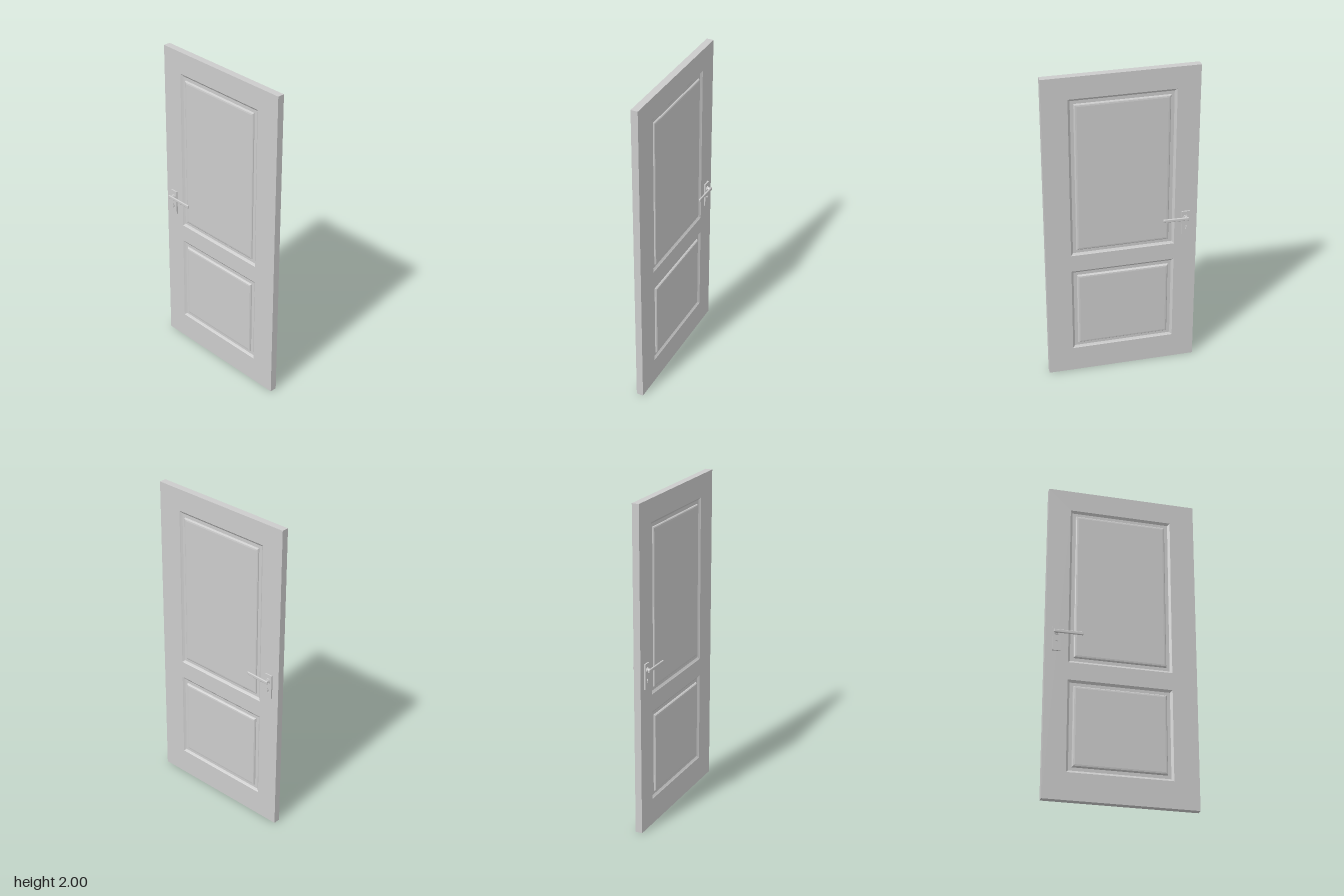
import * as THREE from 'three';
import { RoundedBoxGeometry } from 'three/addons/geometries/RoundedBoxGeometry.js';

const HALF = 0.0215; // half the door thickness
const material = new THREE.MeshStandardMaterial({ color: 0xcccccc, flatShading: true });
const smooth = new THREE.MeshStandardMaterial({ color: 0xcccccc });

function add(parent, name, geometry, x = 0, y = 0, z = 0, mat = material) {
  const mesh = new THREE.Mesh(geometry, mat);
  mesh.name = name;
  mesh.position.set(x, y, z);
  parent.add(mesh);
  return mesh;
}

function rectangle(Type, x0, y0, x1, y1) {
  const path = new Type();
  path.moveTo(x0, y0);
  path.lineTo(x1, y0);
  path.lineTo(x1, y1);
  path.lineTo(x0, y1);
  path.closePath();
  return path;
}

// Rectangular rings of [inset, z] joined by sloping faces and closed in the middle
function steppedPanel([x0, y0, x1, y1], profile) {
  const positions = [], index = [];
  for (const [d, z] of profile) {
    positions.push(x0 + d, y0 + d, z, x1 - d, y0 + d, z, x1 - d, y1 - d, z, x0 + d, y1 - d, z);
  }
  for (let r = 0; r < profile.length - 1; r++) {
    for (let i = 0; i < 4; i++) {
      const a = r * 4 + i, b = r * 4 + (i + 1) % 4;
      index.push(a, b, b + 4, a, b + 4, a + 4);
    }
  }
  const c = (profile.length - 1) * 4;
  index.push(c, c + 1, c + 2, c, c + 2, c + 3);
  const geometry = new THREE.BufferGeometry();
  geometry.setAttribute('position', new THREE.Float32BufferAttribute(positions, 3));
  geometry.setIndex(index);
  const flat = geometry.toNonIndexed();
  flat.computeVertexNormals();
  return flat;
}

// Latch plate with a keyhole cut through it, centred on its own origin
function plateGeometry(depth) {
  const shape = rectangle(THREE.Shape, -0.025, -0.0775, 0.025, 0.0775);
  const keyhole = new THREE.Path();
  keyhole.absarc(0, -0.022, 0.007, -Math.PI * 0.35, Math.PI * 1.35, false);
  keyhole.lineTo(-0.003, -0.042);
  keyhole.lineTo(0.003, -0.042);
  keyhole.closePath();
  shape.holes.push(keyhole);
  return new THREE.ExtrudeGeometry(shape, { depth, bevelEnabled: false, curveSegments: 8 });
}

// Plate, neck and lever; built facing +z around the spindle
function makeHandle(name, length, overhang, tilt, direction) {
  const handle = new THREE.Group();
  handle.name = name;
  add(handle, 'plate', plateGeometry(0.009), 0, -0.038, 0);
  const collar = new THREE.CylinderGeometry(0.016, 0.016, 0.008, 24).rotateX(Math.PI / 2);
  add(handle, 'collar', collar, 0, 0, 0.012, smooth);
  const neck = new THREE.CylinderGeometry(0.011, 0.011, 0.018, 24).rotateX(Math.PI / 2);
  add(handle, 'neck', neck, 0, 0, 0.018, smooth);
  const bar = new RoundedBoxGeometry(length, 0.021, 0.011, 3, 0.005);
  const lever = add(handle, 'lever', bar, direction * (length / 2 - overhang), 0, 0.029, smooth);
  lever.rotation.y = tilt;
  return handle;
}

export function createModel() {
  const door = new THREE.Group();
  door.name = 'door';

  const openings = [
    { name: 'upperPanel', box: [-0.325, 0.84, 0.31, 1.865], top: 0.0218 },
    { name: 'lowerPanel', box: [-0.325, 0.165, 0.31, 0.73], top: 0.024 },
  ];

  // Stiles and rails in one piece
  const outline = rectangle(THREE.Shape, -0.463, 0, 0.463, 2);
  for (const { box } of openings) outline.holes.push(rectangle(THREE.Path, ...box));
  const frame = new THREE.ExtrudeGeometry(outline, { depth: HALF * 2, bevelEnabled: false });
  add(door, 'frame', frame, 0, 0, -HALF);

  // Moulded recess with a raised field, on both faces
  for (const { name, box, top } of openings) {
    const profile = [
      [0, HALF], [0.004, 0.018], [0.014, 0.011], [0.034, 0.011],
      [0.036, 0.017], [0.041, top - 0.0015], [0.05, top],
    ];
    add(door, name + 'Front', steppedPanel(box, profile));
    const [x0, y0, x1, y1] = box;
    const back = add(door, name + 'Back', steppedPanel([-x1, y0, -x0, y1], profile));
    back.rotation.y = Math.PI;
  }

  // Handles on both faces, levers pointing towards the middle
  const front = makeHandle('frontHandle', 0.18, 0.023, 0, 1);
  front.position.set(-0.397, 1.02, HALF);
  const rear = makeHandle('backHandle', 0.158, 0.014, -0.035, -1);
  rear.position.set(-0.393, 1.02, -HALF);
  rear.rotation.y = Math.PI;
  door.add(front, rear);

  return door;
}
